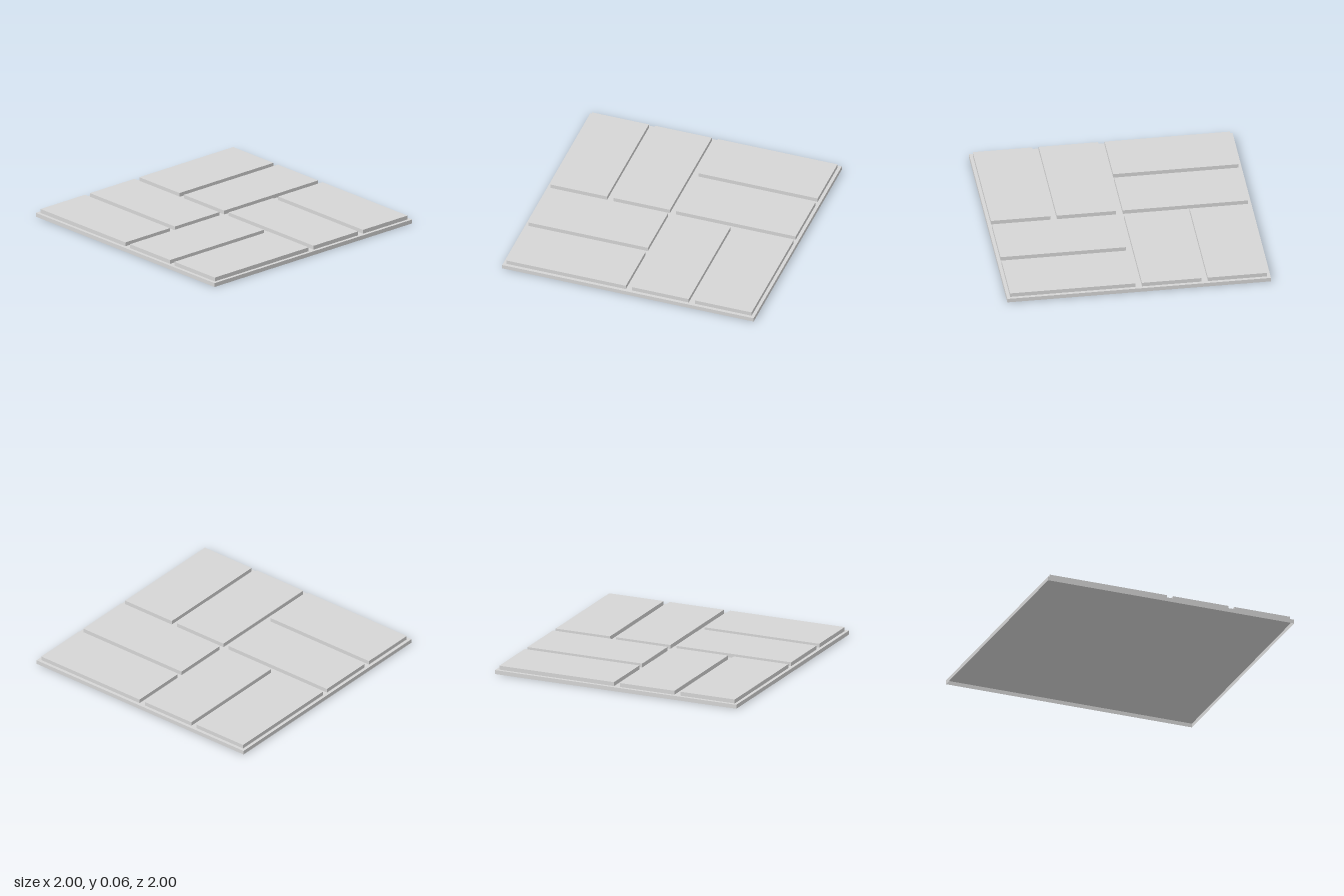
import * as THREE from 'three';

const LAYER = 0.031;  // height of the base and of each paver
const LONG = 0.95;
const SHORT = 0.45;

// Thin shell: a box with a top and four sides, open underneath
function openBox(width, height, depth) {
  const geometry = new THREE.BoxGeometry(width, height, depth);
  const index = Array.from(geometry.index.array);
  index.splice(18, 6); // the fourth face is the underside
  geometry.setIndex(index);
  geometry.clearGroups();
  return geometry;
}

export function createModel() {
  const model = new THREE.Group();
  model.name = 'pavedFloorTile';

  const stone = new THREE.MeshStandardMaterial({ color: 0xd6d6d6, side: THREE.DoubleSide });
  stone.name = 'greyStone';

  const addSlab = (name, width, depth, x, bottom, z) => {
    const slab = new THREE.Mesh(openBox(width, LAYER, depth), stone);
    slab.name = name;
    slab.position.set(x, bottom + LAYER / 2, z);
    model.add(slab);
  };

  // Square base under the joints
  addSlab('base', 2, 2, 0, 0, 0);

  // Basket weave: each quadrant holds a pair of pavers, turned in alternate quadrants
  for (const qx of [-0.5, 0.5]) {
    for (const qz of [-0.5, 0.5]) {
      const lengthAlongZ = qx === qz;
      for (const offset of [-0.25, 0.25]) {
        if (lengthAlongZ) addSlab('paver', SHORT, LONG, qx + offset, LAYER, qz);
        else addSlab('paver', LONG, SHORT, qx, LAYER, qz + offset);
      }
    }
  }

  return model;
}
